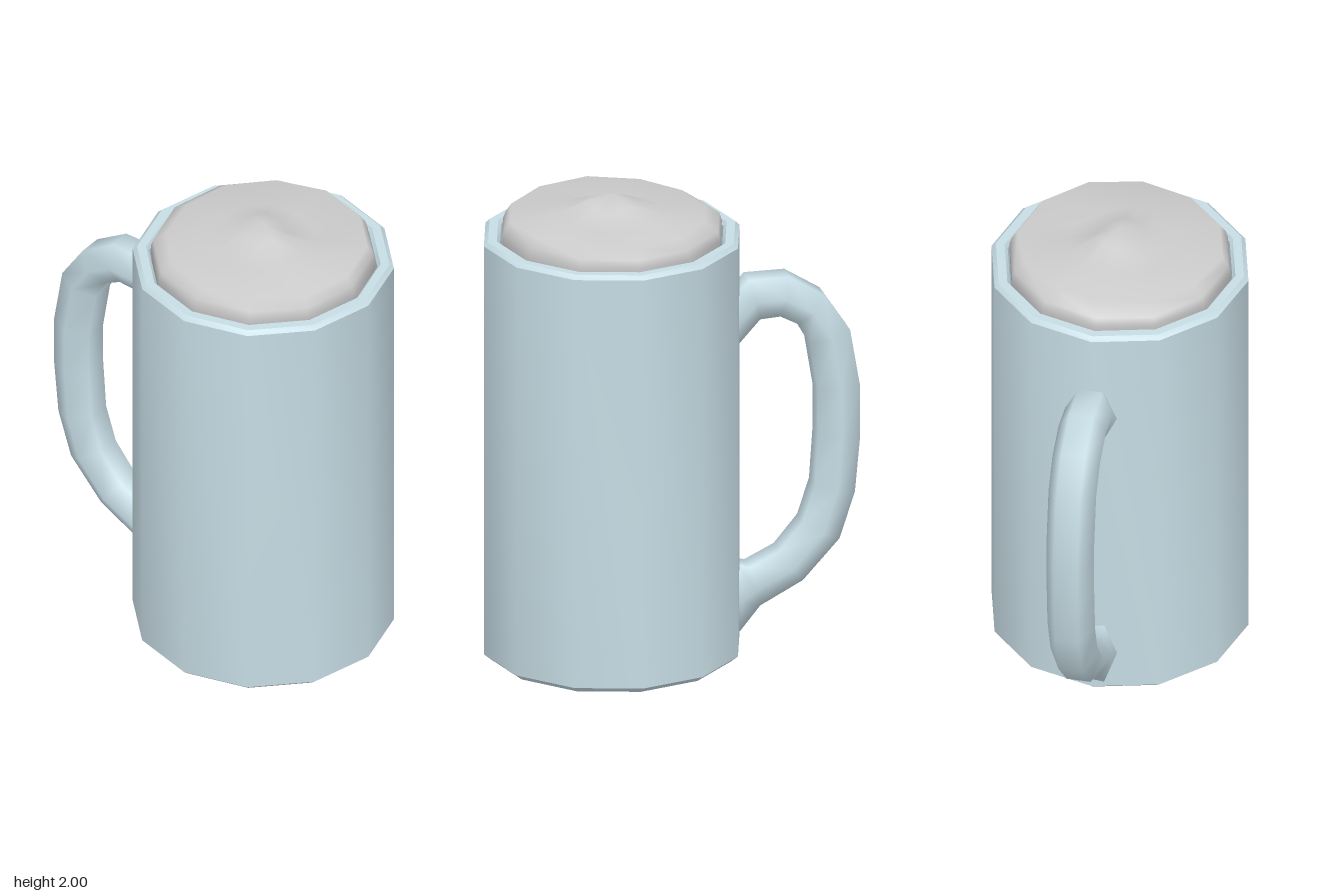
import * as THREE from 'three';
import { mergeVertices, toCreasedNormals } from 'three/addons/utils/BufferGeometryUtils.js';

const SIDES = 12;
const CENTER_Z = 0.25;

const lathe = (profile) =>
  new THREE.LatheGeometry(profile.map(([r, y]) => new THREE.Vector2(r, y)), SIDES);

// Hexagonal tube lofted through pairs of outer and inner edge points, given as [z, y]
function loftHandle(pairs, halfWidth) {
  const n = 6, positions = [], index = [];
  pairs.forEach(([oz, oy, iz, iy], i) => {
    for (let j = 0; j < n; j++) {
      const a = (j / n) * Math.PI * 2;
      const s = Math.sin(a) / Math.sin(Math.PI / 3) / 2;
      positions.push(
        halfWidth * Math.cos(a),
        (oy + iy) / 2 + (oy - iy) * s,
        (oz + iz) / 2 + (oz - iz) * s
      );
      if (i < pairs.length - 1) {
        const p = i * n + j, q = i * n + ((j + 1) % n);
        index.push(p, p + n, q, q, p + n, q + n);
      }
    }
  });
  const g = new THREE.BufferGeometry();
  g.setAttribute('position', new THREE.Float32BufferAttribute(positions, 3));
  g.setIndex(index);
  g.computeVertexNormals();
  return g;
}

// Foam plug with a low peak and an uneven top
function foamGeometry() {
  let g = lathe([
    [0, 1.7], [0.46, 1.7], [0.465, 1.84], [0.455, 1.875], [0.43, 1.913], [0.22, 1.922], [0.1, 1.962], [0, 2],
  ]);
  g.deleteAttribute('uv');
  g.deleteAttribute('normal');
  g = mergeVertices(g, 1e-4);
  const p = g.attributes.position;
  for (let i = 0; i < p.count; i++) {
    const x = p.getX(i), y = p.getY(i), z = p.getZ(i);
    const r = Math.hypot(x, z);
    if (y < 1.86 || r < 0.01) continue;
    const a = Math.atan2(x, z);
    const ripple = r < 0.3 ? 0.012 * Math.sin(2 * a + 2.4) + 0.006 * Math.cos(3 * a) : 0.004 * Math.sin(3 * a);
    // the back of the rim is rounded off more than the front
    const shrink = r > 0.3 && y > 1.9 ? 1 - 0.08 * Math.max(0, -Math.cos(a)) : 1;
    p.setXYZ(i, x * shrink, y + ripple, z * shrink);
  }
  g.computeVertexNormals();
  return g;
}

export function createModel() {
  const group = new THREE.Group();
  const glass = new THREE.MeshStandardMaterial({ color: 0xc6dce4 });
  const grey = new THREE.MeshStandardMaterial({ color: 0xcccccc });
  const add = (name, geometry, material, z = 0) => {
    const mesh = new THREE.Mesh(geometry, material);
    mesh.name = name;
    mesh.position.z = z;
    group.add(mesh);
  };

  // Twelve-sided mug with chamfered foot and rim, hollow inside
  add('mugBody', toCreasedNormals(lathe([
    [0, 0], [0.51, 0], [0.54, 0.025], [0.54, 1.815], [0.522, 1.832],
    [0.485, 1.832], [0.472, 1.815], [0.472, 0.1], [0, 0.1],
  ]), 0.6), glass, CENTER_Z);

  add('foam', foamGeometry(), grey, CENTER_Z);

  // Handle edge points from top to bottom: outer z, outer y, inner z, inner y
  add('handle', loftHandle([
    [-0.25, 1.52, -0.25, 1.28],
    [-0.275, 1.54, -0.275, 1.31],
    [-0.32, 1.585, -0.365, 1.41],
    [-0.49, 1.585, -0.45, 1.415],
    [-0.64, 1.49, -0.525, 1.375],
    [-0.745, 1.33, -0.575, 1.285],
    [-0.787, 1.08, -0.61, 1.07],
    [-0.787, 0.86, -0.61, 0.88],
    [-0.765, 0.62, -0.595, 0.66],
    [-0.7, 0.42, -0.545, 0.505],
    [-0.545, 0.25, -0.445, 0.385],
    [-0.365, 0.155, -0.32, 0.325],
    [-0.28, 0.05, -0.275, 0.34],
    [-0.25, 0.06, -0.25, 0.34],
  ], 0.1), glass);

  return group;
}
